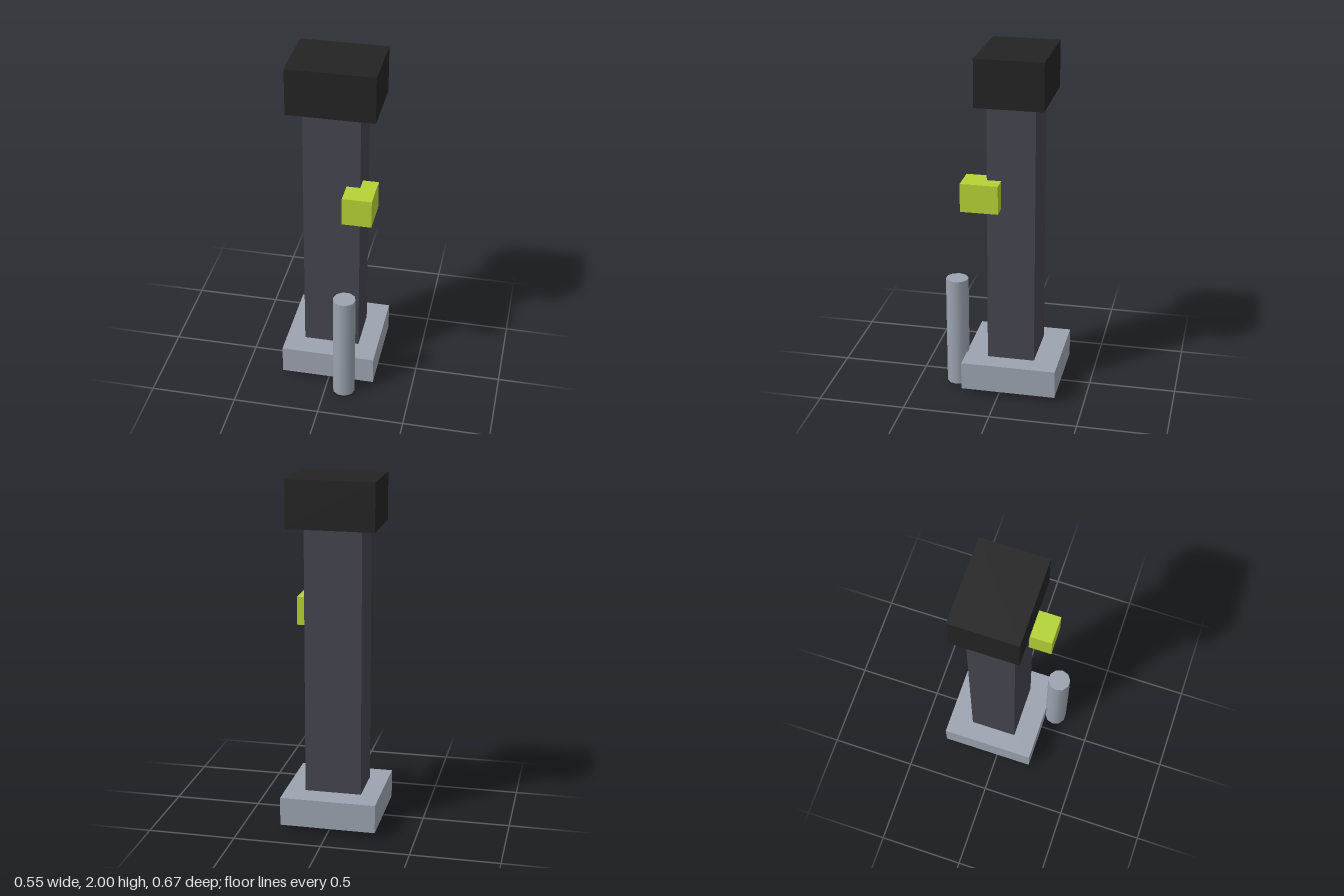
import * as THREE from 'three';

const mat = (name, color) => {
  const m = new THREE.MeshStandardMaterial({ color });
  m.name = name;
  return m;
};

export function createModel() {
  const group = new THREE.Group();
  group.name = 'pillar';
  const grey = mat('grey', 0x9ca3af);
  const slate = mat('slate', 0x44444e);
  const black = mat('black', 0x232323);
  const lime = mat('lime', 0xb4d335);

  // Box given by its lower and upper corners
  function box(name, material, [x0, y0, z0], [x1, y1, z1]) {
    const mesh = new THREE.Mesh(new THREE.BoxGeometry(x1 - x0, y1 - y0, z1 - z0), material);
    mesh.position.set((x0 + x1) / 2, (y0 + y1) / 2, (z0 + z1) / 2);
    mesh.name = name;
    group.add(mesh);
  }

  box('base', grey, [-0.275, 0.032, -0.334], [0.273, 0.197, 0.214]);
  box('column', slate, [-0.166, 0.197, -0.192], [0.158, 1.73, 0.081]);
  box('cap', black, [-0.248, 1.73, -0.252], [0.247, 2, 0.132]);
  box('sideBox', lime, [0.081, 1.128, 0], [0.247, 1.292, 0.214]);

  // Ten-sided post beside the base, with a corner pointing to +x
  const post = new THREE.Mesh(
    new THREE.CylinderGeometry(0.0655, 0.0655, 0.66, 10, 1, false, Math.PI / 2), grey);
  post.position.set(0.109, 0.33, 0.27);
  post.name = 'post';
  group.add(post);

  return group;
}
